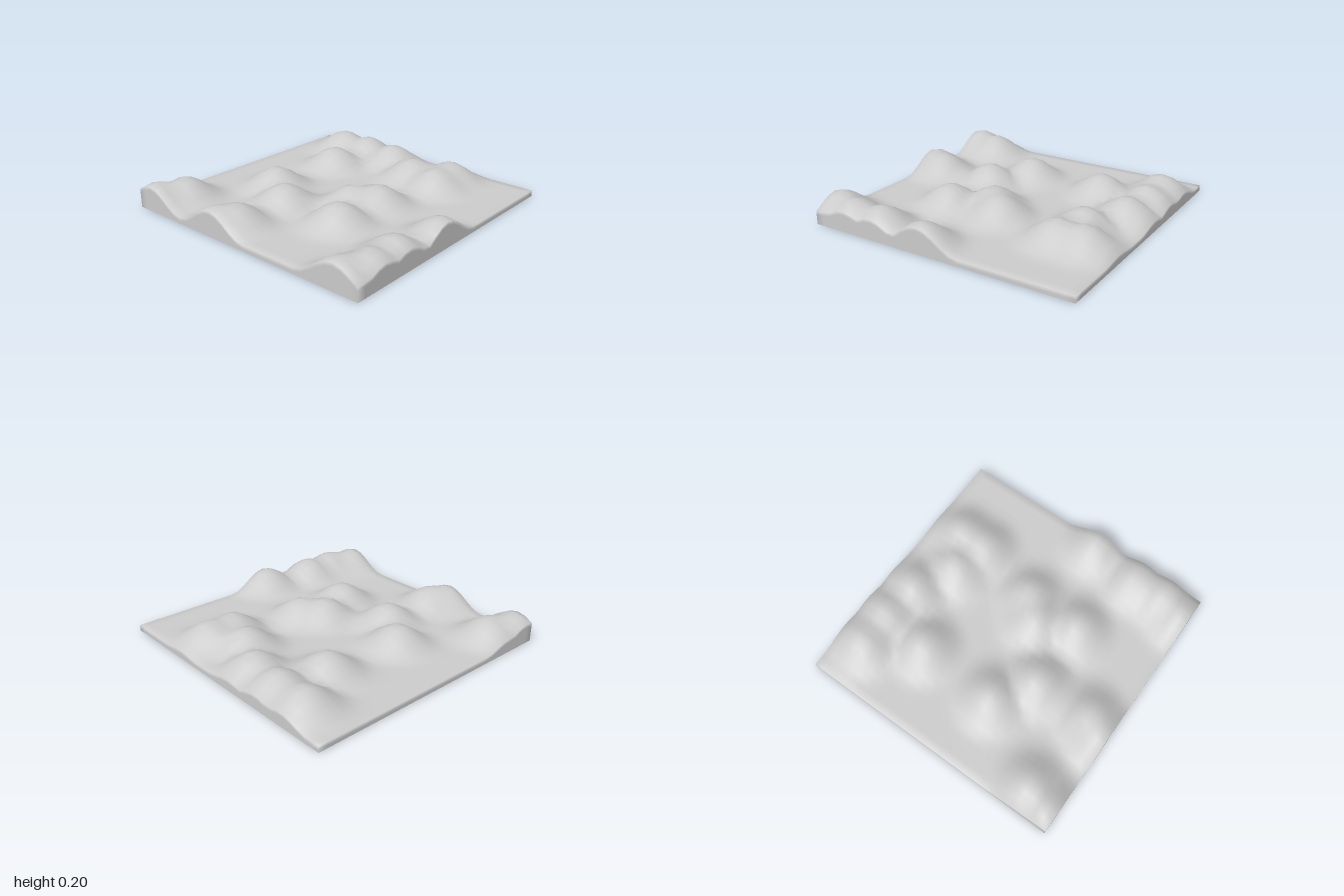
import * as THREE from 'three';
import { mergeVertices } from 'three/addons/utils/BufferGeometryUtils.js';

const CELLS = 32, BASE = 0.045, PEAK = 0.2, RADIUS = 0.32, LIP = 0.025;

// Hill centres [x, z] in units of 1/16
const HILLS = [
  // back
  [-10.5, -13], [-6.5, -13], [-2, -12.5], [7, -12], [3, -10], [7, -9], [-7, -7],
  // middle
  [3, 1.4], [5, -0.6], [-7.5, 2.8], [-3, 6], [5, 6],
  // front edge
  [-13, 12], [-14, 15], [-3, 13.2], [-4, 15], [13, 15],
  // left edge
  [14, 12], [14, 8.3], [15, 2],
].map(([x, z]) => [x / 16, z / 16]);

// Flat ground with equal cosine hills; the highest hill wins, leaving creases
function groundHeight(x, z) {
  let h = 0;
  for (const [cx, cz] of HILLS) {
    const d = Math.min(Math.hypot(x - cx, z - cz) / RADIUS, 1);
    h = Math.max(h, 0.5 + 0.5 * Math.cos(Math.PI * d));
  }
  return BASE + (PEAK - BASE) * h;
}

// Grid with two extra rings of cells folded down as a lip and the side walls
function terrainGeometry() {
  const n = CELLS + 4, cell = 2 / CELLS;
  const geo = new THREE.PlaneGeometry(n * cell, n * cell, n, n).rotateX(-Math.PI / 2);
  const pos = geo.attributes.position;
  for (let i = 0; i < pos.count; i++) {
    const x = THREE.MathUtils.clamp(pos.getX(i), -1, 1);
    const z = THREE.MathUtils.clamp(pos.getZ(i), -1, 1);
    const reach = Math.max(Math.abs(pos.getX(i)), Math.abs(pos.getZ(i)));
    const ring = Math.max(0, Math.round((reach - 1) / cell));
    pos.setXYZ(i, x, ring === 2 ? 0 : groundHeight(x, z) - ring * LIP, z);
  }
  geo.deleteAttribute('normal');
  geo.deleteAttribute('uv');
  const merged = mergeVertices(geo, 1e-5);
  merged.computeVertexNormals();
  return merged;
}

export function createModel() {
  const group = new THREE.Group();
  group.name = 'hillyTerrain';
  // Open underneath, so both sides show
  const material = new THREE.MeshStandardMaterial({ color: 0xcccccc, side: THREE.DoubleSide });
  const terrain = new THREE.Mesh(terrainGeometry(), material);
  terrain.name = 'terrain';
  group.add(terrain);
  return group;
}
